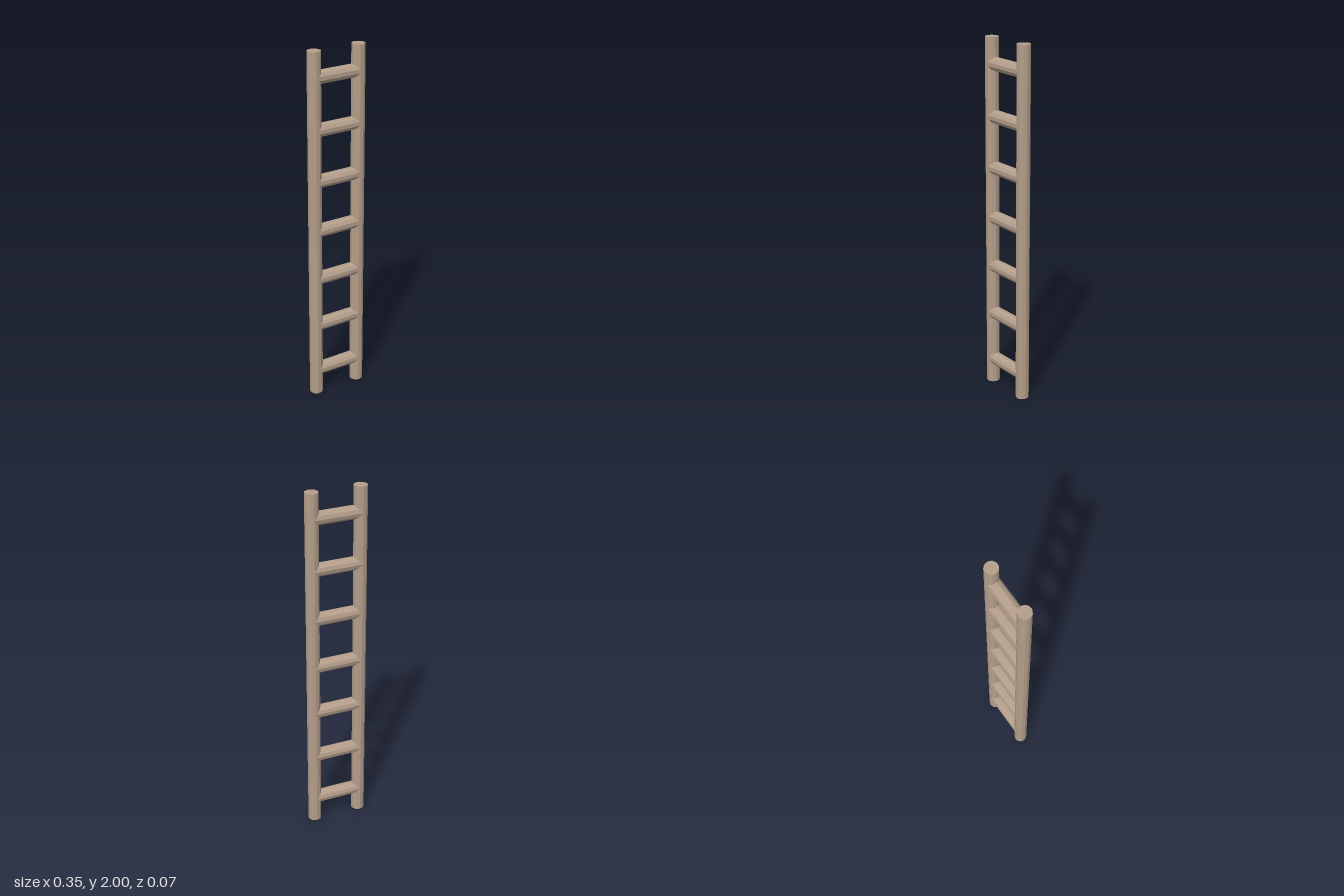
import * as THREE from 'three';

const RADIUS = 0.0374;
const SIDES = 11;
const HEIGHT = 2;
const POLE_X = 0.136;
const RUNGS = 7;

// Faceted round bar along y, with a flat facet facing the front
function barGeometry(length) {
  return new THREE.CylinderGeometry(RADIUS, RADIUS, length, SIDES).rotateY(Math.PI);
}

export function createModel() {
  const ladder = new THREE.Group();
  ladder.name = 'ladder';
  const wood = new THREE.MeshStandardMaterial({ color: 0xb39e8a, flatShading: true });

  // Upright poles
  const poleGeometry = barGeometry(HEIGHT);
  for (const side of [-1, 1]) {
    const pole = new THREE.Mesh(poleGeometry, wood);
    pole.name = side > 0 ? 'leftPole' : 'rightPole';
    pole.position.set(side * POLE_X, HEIGHT / 2, 0);
    ladder.add(pole);
  }

  // Evenly spaced rungs, ending inside the poles
  const rungGeometry = barGeometry(POLE_X * 2).rotateZ(Math.PI / 2);
  for (let i = 0; i < RUNGS; i++) {
    const rung = new THREE.Mesh(rungGeometry, wood);
    rung.name = `rung${i + 1}`;
    rung.position.y = (i + 0.5) * HEIGHT / RUNGS;
    ladder.add(rung);
  }
  return ladder;
}
